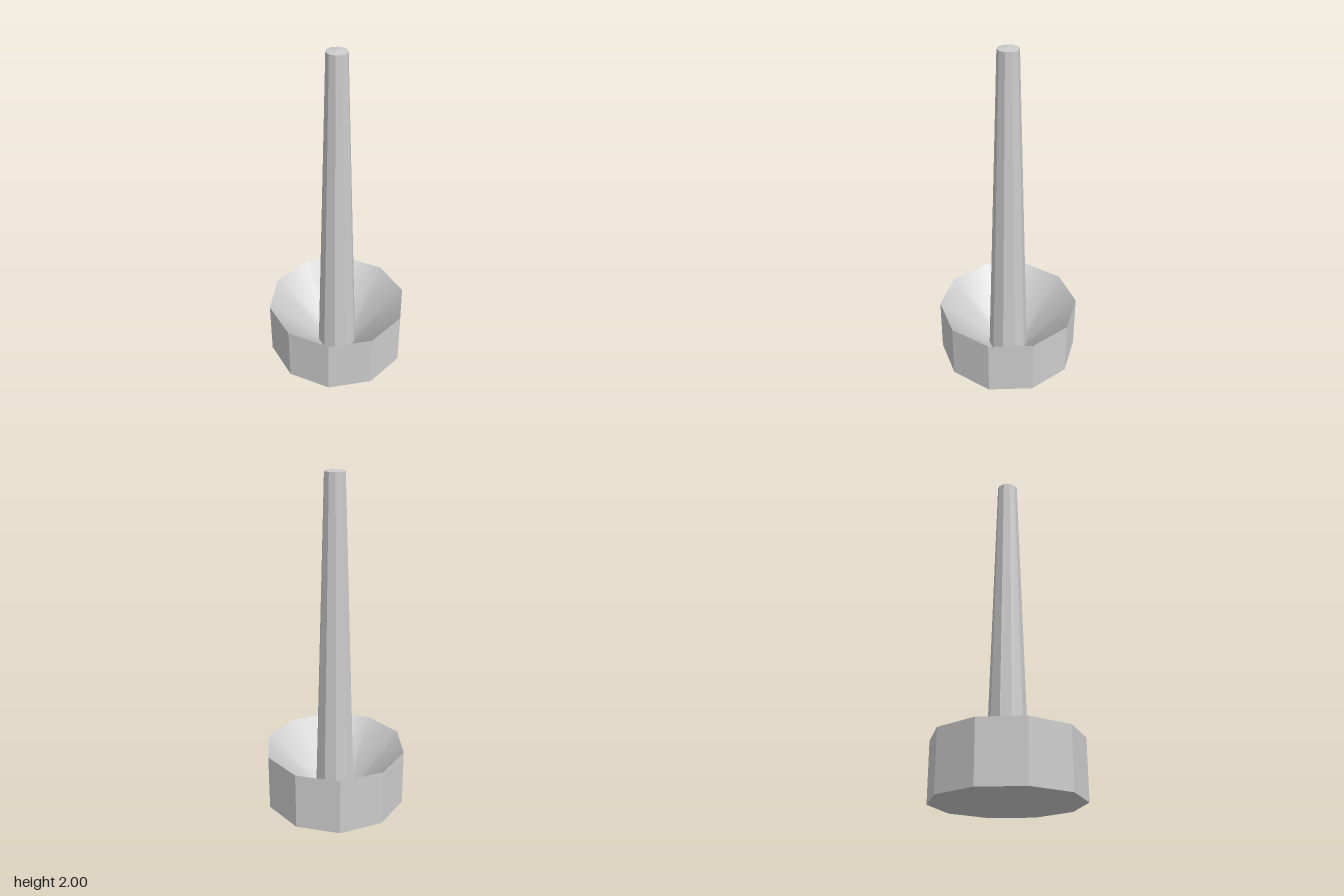
import * as THREE from 'three';

const SIDES = 10;
const START = Math.PI / 2; // puts a corner of every ring on the x axis

export function createModel() {
  const model = new THREE.Group();
  const flat = new THREE.MeshStandardMaterial({ color: 0xcccccc, flatShading: true });
  const smooth = new THREE.MeshStandardMaterial({ color: 0xcccccc });

  const add = (name, geometry, material) => {
    const mesh = new THREE.Mesh(geometry, material);
    mesh.name = name;
    model.add(mesh);
    return mesh;
  };
  // open ten-sided wall between two heights
  const wall = (rTop, rBottom, y0, y1) =>
    new THREE.CylinderGeometry(rTop, rBottom, y1 - y0, SIDES, 1, true, START)
      .translate(0, (y0 + y1) / 2, 0);
  // ten-sided surface turned from a profile of [radius, height] points
  const turned = (points) =>
    new THREE.LatheGeometry(points.map(([r, y]) => new THREE.Vector2(r, y)), SIDES, START);

  const rim = 0.426, rimY = 0.345;
  const foot = 0.121, footY = 0.02;
  const tip = 0.06, tipY = 1.99;

  // hollow base: outer wall, underside and sloping funnel inside
  add('baseWall', wall(rim, rim, 0, rimY), flat);
  add('baseUnderside', new THREE.CircleGeometry(rim, SIDES).rotateX(Math.PI / 2), flat);
  add('baseFunnel', turned([[rim, rimY], [foot, footY]]), smooth);

  // tapered post with a very slightly raised end
  add('post', wall(tip, foot, footY, tipY), flat);
  add('postCap', turned([[tip, tipY], [0, 2]]), smooth);

  return model;
}
